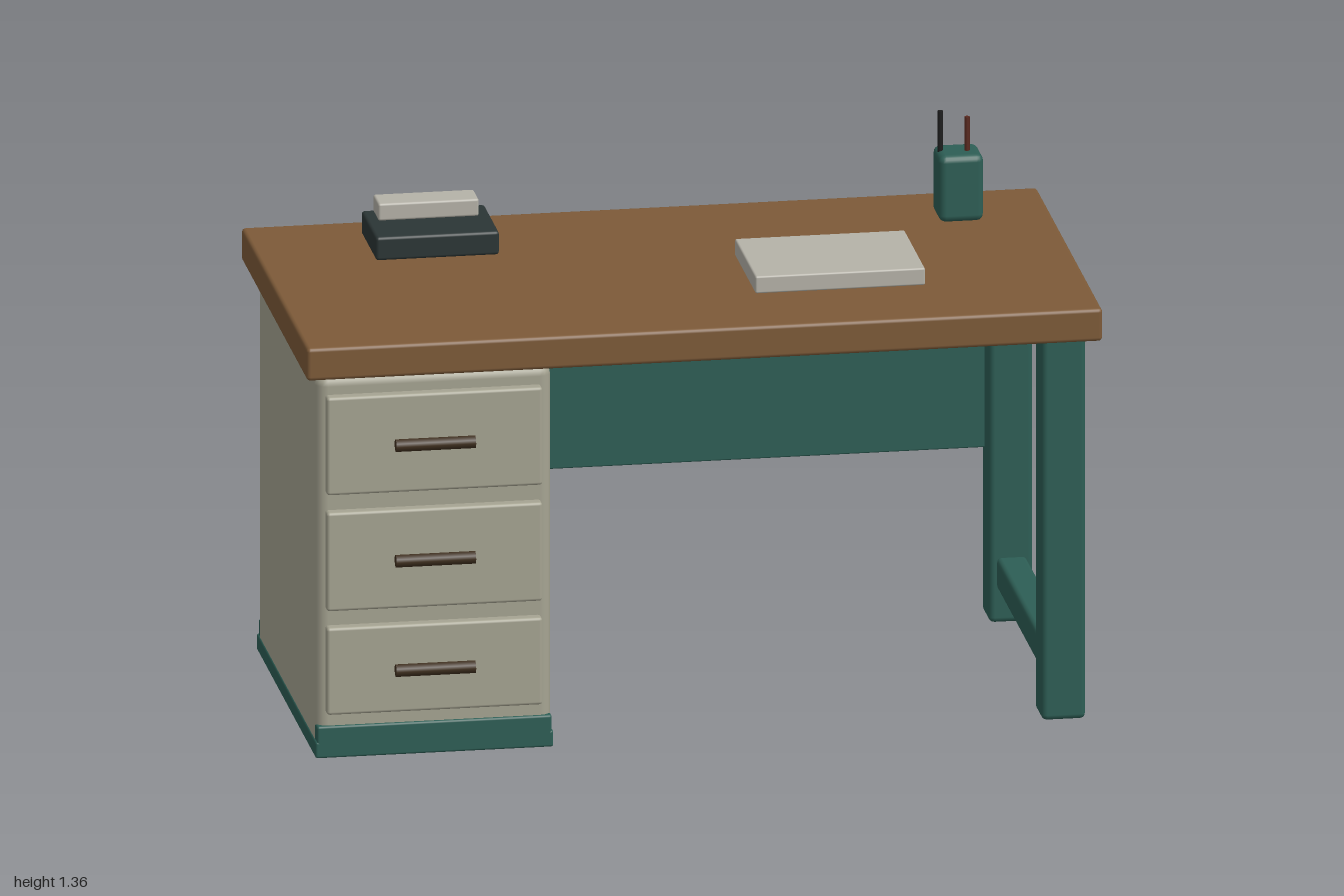
import * as THREE from 'three';
import { RoundedBoxGeometry } from 'three/addons/geometries/RoundedBoxGeometry.js';

const paint = (color) => new THREE.MeshStandardMaterial({ color });

export function createModel() {
  const desk = new THREE.Group();
  desk.name = 'desk';
  const wood = paint(0x7d5a38), teal = paint(0x2d5e55), beige = paint(0xa6a492);
  const bronze = paint(0x40301f), dark = paint(0x2b3535), paper = paint(0xb5b2a8);
  const black = paint(0x1e1e1e), red = paint(0x5a2a20);

  // Bevelled box given by its extents on each axis
  function box(name, material, [x0, x1], [y0, y1], [z0, z1], bevel = 0.008, parent = desk) {
    const geometry = new RoundedBoxGeometry(x1 - x0, y1 - y0, z1 - z0, 2, bevel);
    const mesh = new THREE.Mesh(geometry, material);
    mesh.position.set((x0 + x1) / 2, (y0 + y1) / 2, (z0 + z1) / 2);
    mesh.name = name;
    parent.add(mesh);
    return mesh;
  }

  function rod(name, material, radius, length, x, y, z, sides, parent = desk) {
    const mesh = new THREE.Mesh(new THREE.CylinderGeometry(radius, radius, length, sides), material);
    mesh.position.set(x, y, z);
    mesh.name = name;
    parent.add(mesh);
    return mesh;
  }

  box('desktop', wood, [-1, 1], [1, 1.085], [-0.5, 0.5], 0.01);

  // Drawer cabinet on its plinth
  const cabinet = new THREE.Group();
  cabinet.name = 'drawerCabinet';
  desk.add(cabinet);
  box('cabinetBody', beige, [-0.967, -0.375], [0.004, 0.995], [-0.443, 0.443], 0.03, cabinet);
  box('plinthRim', teal, [-0.97, -0.372], [0, 0.043], [-0.45, 0.45], 0.006, cabinet);
  box('plinthCore', teal, [-0.966, -0.376], [0.01, 0.083], [-0.442, 0.45], 0.006, cabinet);

  // Three drawers with bar handles
  for (const [bottom, top] of [[0.118, 0.345], [0.388, 0.645], [0.69, 0.945]]) {
    box('drawerFront', beige, [-0.945, -0.403], [bottom, top], [0.438, 0.472], 0.008, cabinet);
    rod('drawerHandle', bronze, 0.016, 0.2, -0.675, (bottom + top) / 2, 0.487, 12, cabinet)
      .rotation.z = Math.PI / 2;
  }

  // Leg frame on the open side
  const frame = new THREE.Group();
  frame.name = 'legFrame';
  desk.add(frame);
  box('frontLeg', teal, [0.857, 0.967], [0, 1], [0.333, 0.443], 0.014, frame);
  box('backLeg', teal, [0.857, 0.967], [0, 1], [-0.469, -0.359], 0.014, frame);
  box('legStretcher', teal, [0.875, 0.95], [0.09, 0.172], [-0.362, 0.336], 0.012, frame);

  box('modestyPanel', teal, [-0.375, 0.859], [0.435, 1], [-0.466, -0.435], 0.004);

  // Telephone
  box('telephoneBase', dark, [-0.715, -0.405], [1.085, 1.146], [-0.4, -0.175], 0.008);
  box('telephoneHandset', paper, [-0.687, -0.434], [1.145, 1.19], [-0.39, -0.308], 0.006);

  box('paperStack', paper, [0.17, 0.597], [1.085, 1.13], [-0.073, 0.24], 0.005);

  // Pen cup
  box('penCup', teal, [0.713, 0.825], [1.085, 1.258], [-0.357, -0.245], 0.018);
  rod('blackPen', black, 0.007, 0.2, 0.725, 1.26, -0.306, 8);
  rod('redPen', red, 0.007, 0.185, 0.79, 1.253, -0.293, 8);

  return desk;
}
